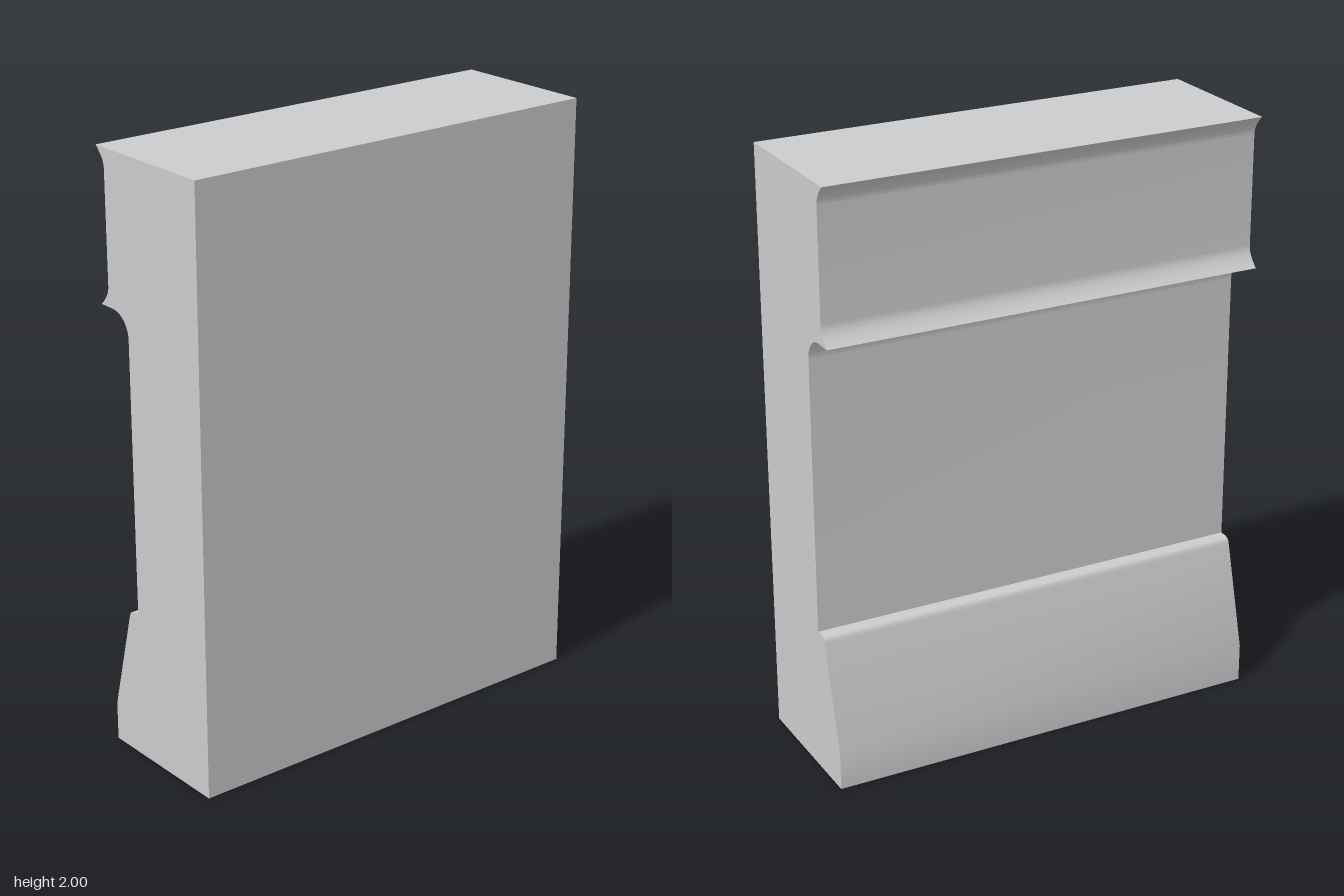
import * as THREE from 'three';
import { toCreasedNormals } from 'three/addons/utils/BufferGeometryUtils.js';

const DEPTH = 1.5;

// Moulded wall section: flat on the +x side, profiled on the -x side
function wallProfile() {
  const s = new THREE.Shape();
  s.moveTo(-0.25, 0);
  s.lineTo(0.25, 0);
  s.lineTo(0.25, 2);
  s.lineTo(-0.25, 2);
  // upper band with flared lips at top and bottom
  s.quadraticCurveTo(-0.21, 1.965, -0.21, 1.935);
  s.lineTo(-0.21, 1.565);
  s.quadraticCurveTo(-0.21, 1.535, -0.25, 1.5);
  // cove under the band, down to the recessed panel
  s.lineTo(-0.19, 1.5);
  s.absarc(-0.19, 1.42, 0.08, Math.PI / 2, 0, true);
  s.lineTo(-0.11, 0.5);
  // rounded ledge, sloping skirt and plinth
  s.lineTo(-0.132, 0.5);
  s.quadraticCurveTo(-0.152, 0.5, -0.157, 0.48);
  s.lineTo(-0.25, 0.13);
  s.closePath();
  return s;
}

export function createModel() {
  const group = new THREE.Group();
  group.name = 'mouldedWall';

  const extruded = new THREE.ExtrudeGeometry(wallProfile(), {
    depth: DEPTH, bevelEnabled: false, curveSegments: 12,
  });
  extruded.translate(0, 0, -DEPTH / 2);

  const wall = new THREE.Mesh(
    toCreasedNormals(extruded, Math.PI / 9),
    new THREE.MeshStandardMaterial({ color: 0xcccccc }),
  );
  wall.name = 'wall';
  group.add(wall);
  return group;
}
